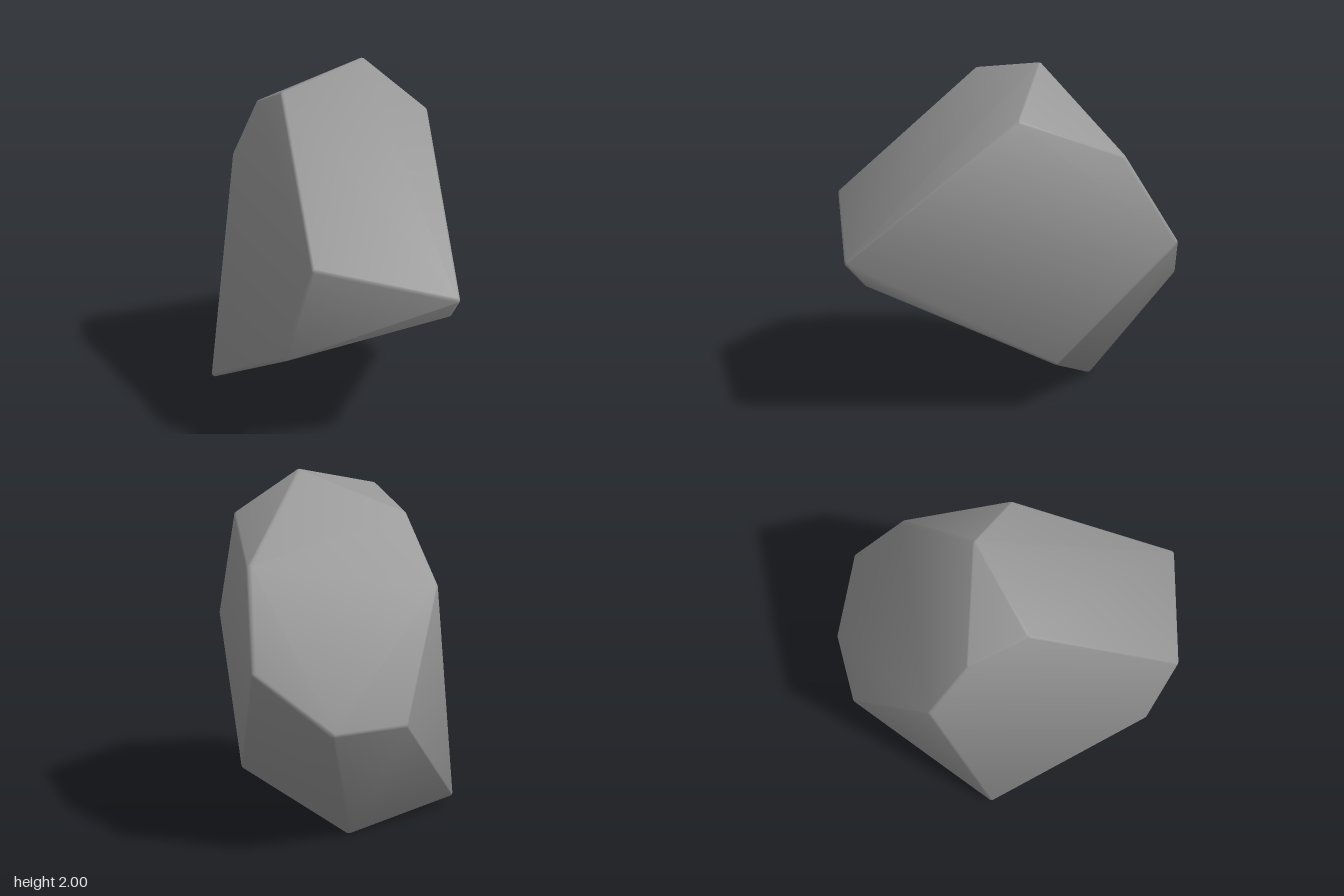
import * as THREE from 'three';
import { ConvexGeometry } from 'three/addons/geometries/ConvexGeometry.js';
import { mergeVertices } from 'three/addons/utils/BufferGeometryUtils.js';

const EDGE_RADIUS = 0.02;
const SOFTNESS = 0.36; // how far the shading leans towards a round pebble
const MIDDLE = new THREE.Vector3(0, 1, 0);

// Main corners of the boulder
const CORNERS = [
  // crown
  [-0.08, 2.0, -0.17], [-0.29, 1.9, 0.34], [-0.57, 1.76, 0.17], [0.3, 1.75, -0.23],
  // upper shoulders
  [-0.82, 1.37, 0.08], [-0.08, 1.52, -0.7], [-0.27, 1.0, -0.96],
  // front ridge
  [0.3, 1.2, 0.96], [0.1, 0.63, 0.95],
  // pointed side
  [0.91, 1.0, 0.52], [0.83, 0.87, 0.45],
  // blunt side
  [-0.91, 0.7, -0.47], [-0.66, 0.69, -0.81],
  // foot
  [-0.77, 0.05, 0.45], [-0.5, 0.0, -0.33], [0.15, 0.3, -0.41],
];

// Hull around a small ball set just inside each corner, giving worn edges
function roundedHull(corners, radius) {
  const ball = mergeVertices(new THREE.IcosahedronGeometry(radius, 1).deleteAttribute('normal').deleteAttribute('uv'));
  const ballPos = ball.getAttribute('position');
  const points = [];
  for (const corner of corners) {
    const centre = new THREE.Vector3(...corner);
    centre.add(MIDDLE.clone().sub(centre).setLength(radius * 1.15));
    for (let i = 0; i < ballPos.count; i++) {
      points.push(new THREE.Vector3().fromBufferAttribute(ballPos, i).add(centre));
    }
  }
  const hull = mergeVertices(new ConvexGeometry(points).deleteAttribute('normal'), 1e-4);
  hull.computeVertexNormals();
  return hull;
}

// Lean each normal outwards from the middle so the facets shade as gently curved
function softenNormals(geometry, amount) {
  const pos = geometry.getAttribute('position');
  const normals = geometry.getAttribute('normal');
  const n = new THREE.Vector3();
  const outward = new THREE.Vector3();
  for (let i = 0; i < pos.count; i++) {
    outward.fromBufferAttribute(pos, i).sub(MIDDLE).normalize();
    n.fromBufferAttribute(normals, i).lerp(outward, amount).normalize();
    normals.setXYZ(i, n.x, n.y, n.z);
  }
}

export function createModel() {
  const group = new THREE.Group();
  group.name = 'rock';

  const geometry = roundedHull(CORNERS, EDGE_RADIUS);
  softenNormals(geometry, SOFTNESS);

  const boulder = new THREE.Mesh(geometry, new THREE.MeshStandardMaterial({ color: 0x959595 }));
  boulder.name = 'boulder';
  group.add(boulder);
  return group;
}
